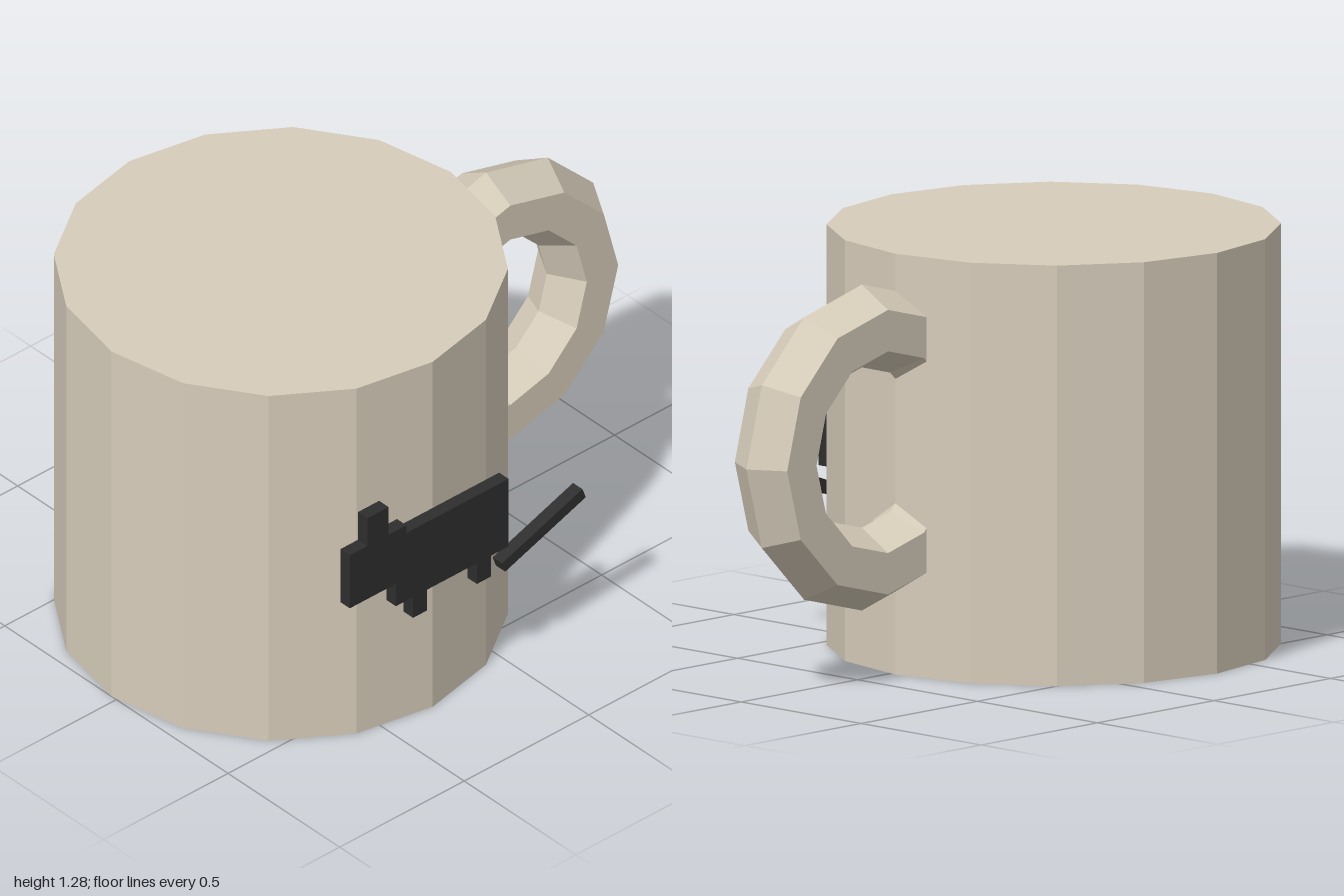
import * as THREE from 'three';

export function createModel() {
  const group = new THREE.Group();
  group.name = 'mug';

  const clay = new THREE.MeshStandardMaterial({ color: 0xd6ccba, flatShading: true });
  clay.name = 'beige clay';
  const charcoal = new THREE.MeshStandardMaterial({ color: 0x2e2e2e, flatShading: true });
  charcoal.name = 'charcoal';

  const add = (name, geometry, material, x, y, z, parent = group) => {
    const mesh = new THREE.Mesh(geometry, material);
    mesh.name = name;
    mesh.position.set(x, y, z);
    parent.add(mesh);
    return mesh;
  };

  // Sixteen-sided closed cup
  add('cup', new THREE.CylinderGeometry(0.68, 0.68, 1.28, 16), clay, -0.32, 0.64, -0.022);

  // Ring handle with a hexagonal section, sunk into the cup wall
  add('handle', new THREE.TorusGeometry(0.37, 0.126, 6, 12), clay, 0.504, 0.71, -0.022);

  // Blocky animal emblem on the front: left, right, bottom, top of each block
  const emblem = new THREE.Group();
  emblem.name = 'animalEmblem';
  group.add(emblem);
  const depth = 0.042, z = 0.679;
  const blocks = [
    ['animalBody', -0.505, -0.053, 0.487, 0.738],
    ['animalHead', -0.69, -0.463, 0.57, 0.767],
    ['animalEar', -0.62, -0.535, 0.767, 0.87],
    ['frontLeg', -0.436, -0.38, 0.41, 0.487],
    ['backLeg', -0.18, -0.123, 0.41, 0.487],
  ];
  for (const [name, x0, x1, y0, y1] of blocks) {
    add(name, new THREE.BoxGeometry(x1 - x0, y1 - y0, depth), charcoal,
      (x0 + x1) / 2, (y0 + y1) / 2, z, emblem);
  }

  // Slanted tail bar
  const tail = add('animalTail', new THREE.BoxGeometry(0.344, 0.039, depth), charcoal,
    0.089, 0.477, z, emblem);
  tail.rotation.z = THREE.MathUtils.degToRad(20);

  return group;
}
